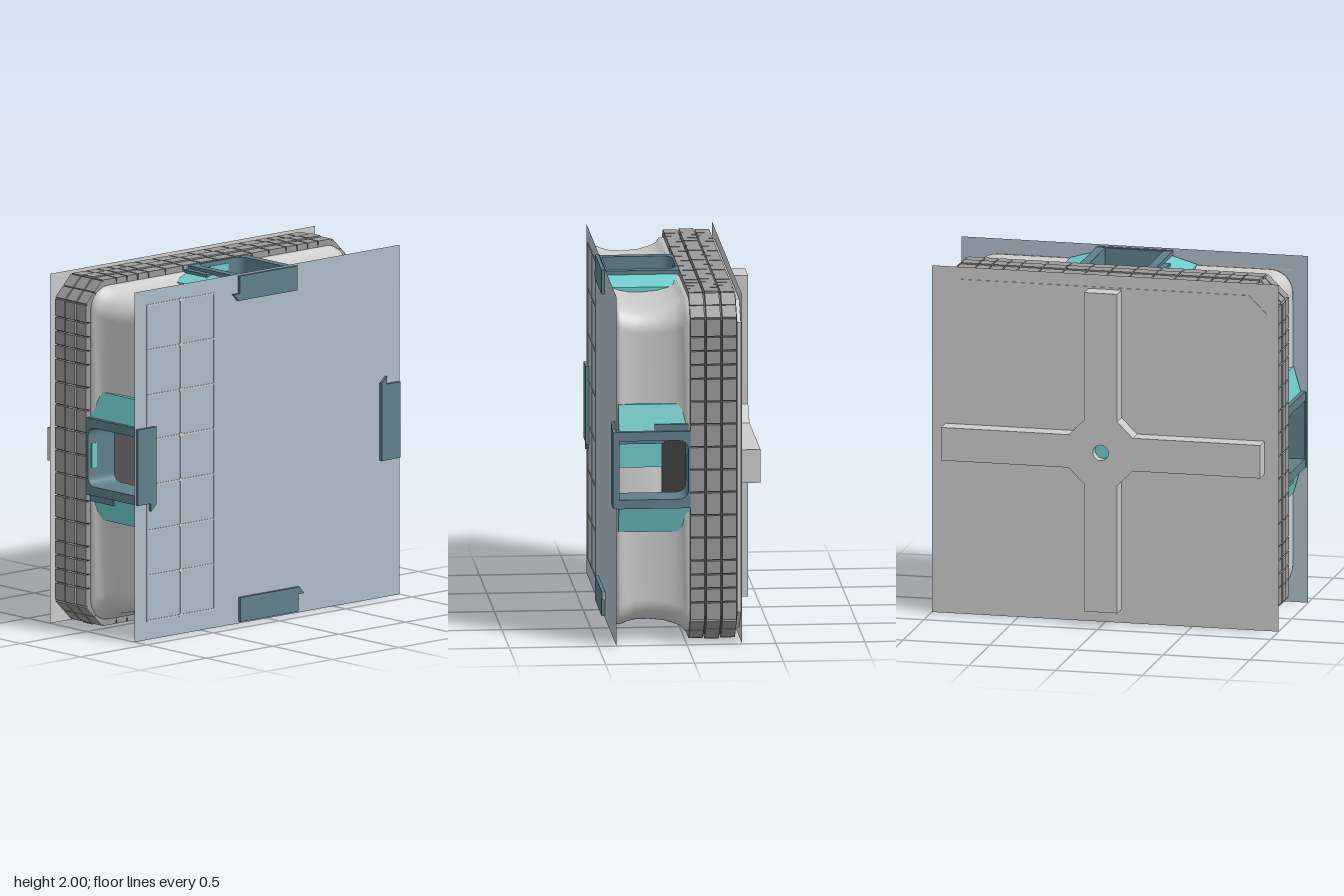
import * as THREE from 'three';

const mat = (color, side = THREE.FrontSide) => new THREE.MeshStandardMaterial({ color, side });
const GREY = mat(0xcccccc);
const SHELL = mat(0xcccccc, THREE.DoubleSide);
const TILE = mat(0x999999);
const SEAM = mat(0x555555);
const BLUE = mat(0x5f7f8a);
const AQUA = mat(0x70cccc);
const GLASS = mat(0xaebdc8, THREE.DoubleSide);

function add(parent, name, geo, material, x = 0, y = 0, z = 0) {
  const m = new THREE.Mesh(geo, material);
  m.name = name;
  m.position.set(x, y, z);
  parent.add(m);
  return m;
}

const box = (w, h, d) => new THREE.BoxGeometry(w, h, d);
const shapeOf = pts => new THREE.Shape(pts.map(p => new THREE.Vector2(p[0], p[1])));

// Flat outline extruded from z0 to z1
function slab(shape, z0, z1) {
  const g = new THREE.ExtrudeGeometry(shape, { depth: z1 - z0, bevelEnabled: false, curveSegments: 10 });
  return g.translate(0, 0, z0);
}

// Square of half size h with corners cut by c
function octagon(h, c) {
  const a = h - c;
  return shapeOf([[a, -h], [h, -a], [h, a], [a, h], [-a, h], [-h, a], [-h, -a], [-a, -h]]);
}

// One corner of the waisted body wall: rounded path swept through a depth profile
function wallCorner() {
  const profile = [[0.955, -0.02], [0.95, 0.005], [0.93, 0.02], [0.915, 0.06], [0.9, 0.12], [0.893, 0.2],
    [0.895, 0.28], [0.905, 0.33], [0.918, 0.365], [0.915, 0.385], [0.9, 0.395]];
  const r = 0.13, n = 10, pos = [], idx = [];
  for (const [h, z] of profile) {
    pos.push(0.19, h, z);
    for (let i = 0; i <= n; i++) {
      const a = Math.PI / 2 * (1 - i / n);
      pos.push(h - r + r * Math.cos(a), h - r + r * Math.sin(a), z);
    }
    pos.push(h, 0.19, z);
  }
  const w = n + 3;
  for (let j = 0; j < profile.length - 1; j++) {
    for (let i = 0; i < w - 1; i++) {
      const a = j * w + i, b = a + 1, c = a + w, d = c + 1;
      idx.push(a, c, b, b, c, d);
    }
  }
  const g = new THREE.BufferGeometry();
  g.setAttribute('position', new THREE.Float32BufferAttribute(pos, 3));
  g.setIndex(idx);
  g.computeVertexNormals();
  return g;
}

// Port frame: block with a tunnel whose rear corners are rounded
function portFrame() {
  const s = shapeOf([[-0.22, -0.02], [0.22, -0.02], [0.22, 0.395], [-0.22, 0.395]]);
  const w = 0.168, r = 0.06, hole = new THREE.Path();
  hole.moveTo(-w, 0.38);
  hole.lineTo(w, 0.38);
  hole.lineTo(w, -0.01 + r);
  hole.quadraticCurveTo(w, -0.01, w - r, -0.01);
  hole.lineTo(-w + r, -0.01);
  hole.quadraticCurveTo(-w, -0.01, -w, -0.01 + r);
  hole.closePath();
  s.holes.push(hole);
  return slab(s, 0, 0.2).rotateX(Math.PI / 2).translate(0, 0.985, 0);
}

// One side, built at the top and turned to the other three
function buildSide() {
  const side = new THREE.Group();
  add(side, 'bodyWall', wallCorner(), SHELL);
  add(side, 'portFrame', portFrame(), BLUE);

  // Hooked clip on the front panel
  const clip = shapeOf([[-0.22, 0.99], [-0.22, 0.89], [-0.265, 0.89], [-0.23, 0.85], [0.215, 0.85], [0.215, 0.99]]);
  add(side, 'frontClip', slab(clip, 0.39, 0.415), BLUE);

  // Sloped shoulders beside the port
  for (const s of [-1, 1]) {
    const pts = [[0.21 * s, 0.84], [0.365 * s, 0.84], [0.365 * s, 0.92], [0.21 * s, 0.965]];
    add(side, 'portShoulder', slab(shapeOf(pts), -0.015, 0.38), AQUA);
  }
  add(side, 'shoulderFlange', box(0.04, 0.1, 0.19), BLUE, -0.238, 0.918, 0.085);
  add(side, 'stud', box(0.03, 0.04, 0.03), AQUA, -0.235, 0.915, 0.15);
  add(side, 'latch', box(0.14, 0.04, 0.02), AQUA, 0, 0.94, -0.015);

  // Three rows of armour tiles along the side and over one cut corner
  const cols = [-0.865, -0.76, -0.68, -0.6, -0.52, -0.39, -0.26, -0.13, 0, 0.13, 0.26, 0.39, 0.52, 0.6, 0.68, 0.76, 0.865];
  const tiles = new THREE.Group();
  tiles.name = 'armourTiles';
  side.add(tiles);
  for (let row = 0; row < 3; row++) {
    const z = -0.06 - row * 0.09;
    const top = row === 1 ? 0.995 : 0.99;
    for (let i = 0; i < cols.length - 1; i++) {
      const w = cols[i + 1] - cols[i] - 0.008;
      add(tiles, 'tile', box(w, 0.05, 0.08), TILE, (cols[i] + cols[i + 1]) / 2, top - 0.025, z);
    }
    for (const s of [-1, 1]) {
      const t = add(tiles, 'cornerTile', box(0.08, 0.05, 0.08), TILE, 0.911 + s * 0.03, 0.911 - s * 0.03, z);
      t.rotation.z = -Math.PI / 4;
    }
  }
  return side;
}

// Cross rib outline with cut inner corners and a centre hole
function crossRib() {
  const a = 0.095, c = 0.185, e = 0.92, pts = [];
  for (let k = 0; k < 4; k++) {
    const q = k * Math.PI / 2, cos = Math.cos(q), sin = Math.sin(q);
    for (const [x, y] of [[e, -a], [e, a], [c, a], [a, c]]) pts.push([x * cos - y * sin, x * sin + y * cos]);
  }
  const s = shapeOf(pts);
  const hole = new THREE.Path();
  hole.absarc(0, 0, 0.045, 0, Math.PI * 2, true);
  s.holes.push(hole);
  return slab(s, -0.42, -0.31);
}

export function createModel() {
  const model = new THREE.Group();
  model.name = 'armouredPanelBlock';
  const core = new THREE.Group();
  core.name = 'block';
  core.position.y = 1;
  model.add(core);

  for (let k = 0; k < 4; k++) {
    const side = buildSide();
    side.name = ['topSide', 'rightSide', 'bottomSide', 'leftSide'][k];
    side.rotation.z = k * Math.PI / 2;
    core.add(side);
  }

  // Tile backing and rear panel
  add(core, 'tileBacking', slab(octagon(0.97, 0.125), -0.285, -0.022), SEAM);
  add(core, 'rearBody', slab(octagon(0.94, 0.11), -0.308, -0.28), GREY);
  add(core, 'rearSheet', new THREE.PlaneGeometry(2, 2), SHELL, 0, 0, -0.31);
  add(core, 'rearPanel', slab(octagon(0.93, 0.1), -0.316, -0.311), GREY);
  add(core, 'crossRib', crossRib(), GREY);
  add(core, 'centrePlug', new THREE.CylinderGeometry(0.045, 0.045, 0.05, 24).rotateX(Math.PI / 2), AQUA, 0, 0, -0.34);

  // Front sheet with its seam grid
  add(core, 'frontSheet', new THREE.PlaneGeometry(2, 2), GLASS, 0, 0, 0.397);
  const grid = new THREE.Group();
  grid.name = 'seamGrid';
  core.add(grid);
  for (let i = 0; i < 3; i++) add(grid, 'seam', box(0.008, 1.81, 0.004), GREY, -0.905 + i * 0.2525, 0.01, 0.399);
  for (let j = 0; j < 8; j++) {
    const y = -0.892 + j * 0.258;
    add(grid, 'seam', box(0.51, 0.008, 0.004), GREY, -0.6525, y, 0.399);
    add(grid, 'seamNode', box(0.02, 0.02, 0.004), GREY, -0.6525, y, 0.399);
  }
  return model;
}
